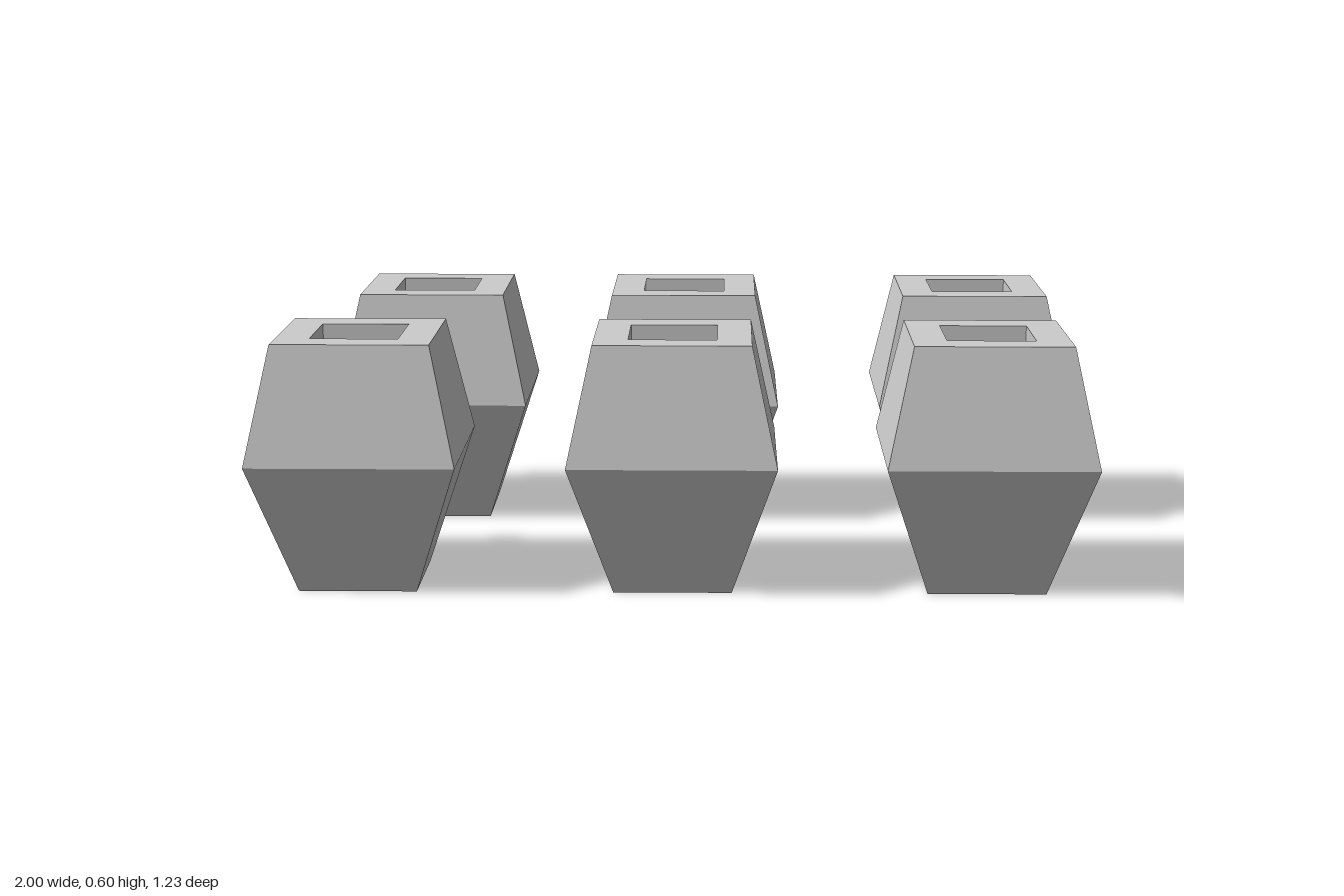
import * as THREE from 'three';

// Square pot shell: half-widths and heights from the open base to the inner lip
const PROFILE = [[0.14, 0], [0.245, 0.32], [0.185, 0.6], [0.104, 0.6], [0.104, 0.523]];

// Pot centres (x, z): back row, then front row
const POTS = [
  [-0.648, -0.372], [0.004, -0.372], [0.755, -0.372],
  [-0.755, 0.372], [-0.01, 0.372], [0.732, 0.372],
];

function potGeometry() {
  // A four-sided lathe, turned so its flat sides face x and z
  const points = PROFILE.map(([half, y]) => new THREE.Vector2(half * Math.SQRT2, y));
  const geometry = new THREE.LatheGeometry(points, 4, Math.PI / 4).toNonIndexed();
  geometry.computeVertexNormals();
  return geometry;
}

export function createModel() {
  const group = new THREE.Group();
  group.name = 'planterPots';
  const material = new THREE.MeshStandardMaterial({
    color: 0xcccccc, flatShading: true, side: THREE.DoubleSide,
  });
  const geometry = potGeometry();
  POTS.forEach(([x, z], i) => {
    const pot = new THREE.Mesh(geometry, material);
    pot.name = `pot${i + 1}`;
    pot.position.set(x, 0, z);
    group.add(pot);
  });
  return group;
}
